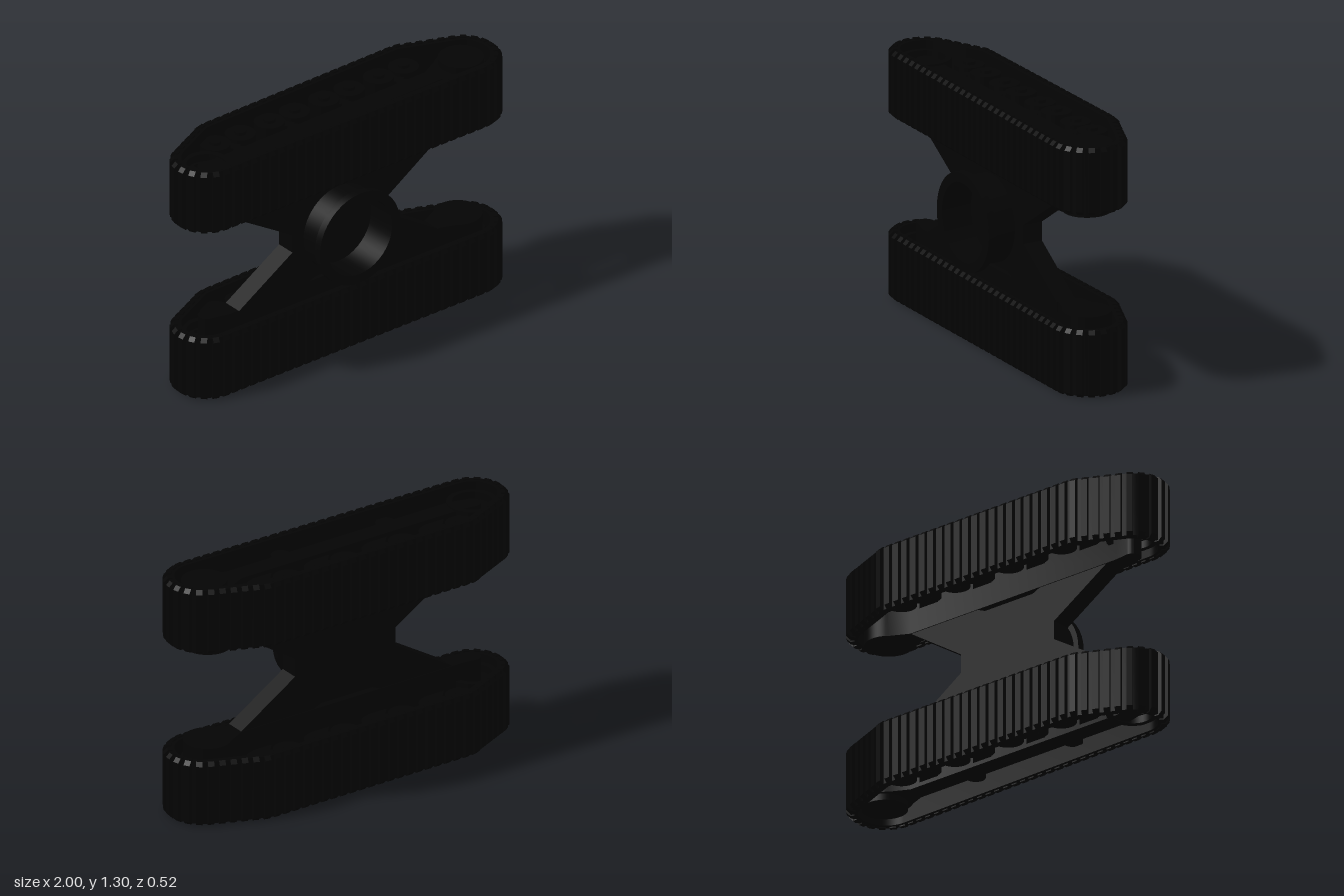
import * as THREE from 'three';
import { mergeGeometries, toCreasedNormals } from 'three/addons/utils/BufferGeometryUtils.js';

const HEIGHT = 1.3, TRACK = 0.35, LUG = 0.022;
// Circles [x, z, radius] the track is wrapped around (radius reaches the lug tips)
const WRAP = [[-0.82, 0.02, 0.18], [-0.63, -0.19, 0.07], [0.58, -0.19, 0.07], [0.805, 0.035, 0.195]];

// Closed tangent outline around the wrap circles, shrunk by inset
function wrapOutline(inset) {
  const n = WRAP.length;
  const angles = WRAP.map(([x, z, r], i) => {
    const [x2, z2, r2] = WRAP[(i + 1) % n];
    return Math.atan2(z2 - z, x2 - x) - Math.acos((r - r2) / Math.hypot(x2 - x, z2 - z));
  });
  const points = [];
  WRAP.forEach(([x, z, r], i) => {
    const from = angles[(i + n - 1) % n];
    let sweep = (angles[i] - from) % (2 * Math.PI);
    if (sweep < 0) sweep += 2 * Math.PI;
    const steps = Math.max(4, Math.ceil(sweep * 8));
    for (let k = 0; k <= steps; k++) {
      const a = from + sweep * k / steps;
      points.push(new THREE.Vector2(x + (r - inset) * Math.cos(a), z + (r - inset) * Math.sin(a)));
    }
  });
  return points;
}

const polygon = (pairs) => new THREE.Shape(pairs.map(([x, y]) => new THREE.Vector2(x, y)));
const disc = (x, z, r) => new THREE.Shape().absarc(x, z, r, 0, Math.PI * 2, false);
const hole = (x, z, r) => new THREE.Path().absarc(x, z, r, 0, Math.PI * 2, true);

export function createModel() {
  const model = new THREE.Group();
  model.name = 'trackedUndercarriage';
  const black = new THREE.MeshStandardMaterial({ color: 0x040404 });
  black.name = 'black';

  function add(parent, name, geometry) {
    const mesh = new THREE.Mesh(geometry, black);
    mesh.name = name;
    parent.add(mesh);
    return mesh;
  }

  // Extrude an (x, z) shape vertically between two heights
  function slab(shape, y0, y1) {
    const g = new THREE.ExtrudeGeometry(shape, { depth: y1 - y0, bevelEnabled: false, curveSegments: 20 });
    g.rotateX(Math.PI / 2).translate(0, y1, 0);
    return toCreasedNormals(g, 0.6);
  }

  function makeTrack(name, upper) {
    const track = new THREE.Group();
    track.name = name;
    model.add(track);
    // Heights count from the outer face of the track
    const part = (label, shape, y0, y1) =>
      add(track, label, upper ? slab(shape, HEIGHT - y1, HEIGHT - y0) : slab(shape, y0, y1));

    // Belt band
    const band = new THREE.Shape(wrapOutline(LUG));
    band.holes.push(new THREE.Path(wrapOutline(0.058).reverse()));
    part('trackBelt', band, 0.006, TRACK - 0.006);

    // Lugs with chamfered ends, spaced evenly around the belt
    const outline = wrapOutline(LUG);
    const path = new THREE.Shape([...outline, outline[0].clone()]);
    const spots = path.getSpacedPoints(76).slice(0, 76);
    const profile = polygon([[0, -0.02], [TRACK, -0.02], [TRACK, 0.002], [TRACK - 0.02, LUG], [0.02, LUG], [0, 0.002]]);
    const lug = new THREE.ExtrudeGeometry(profile, { depth: 0.032, bevelEnabled: false }).translate(0, 0, -0.016);
    const up = new THREE.Vector3(0, 1, 0);
    const lugs = spots.map((p, i) => {
      const a = spots[(i + 75) % 76], b = spots[(i + 1) % 76];
      const out = new THREE.Vector3(b.y - a.y, 0, a.x - b.x).normalize();
      const m = new THREE.Matrix4().makeBasis(up, out, up.clone().cross(out));
      m.setPosition(p.x, upper ? HEIGHT - TRACK : 0, p.y);
      return lug.clone().applyMatrix4(m);
    });
    add(track, 'trackLugs', mergeGeometries(lugs));

    // Side frame: slim beam ending in a round drive housing
    const frame = new THREE.Shape();
    frame.moveTo(-0.815, -0.025);
    frame.lineTo(-0.74, -0.015);
    frame.lineTo(0.6, -0.015);
    frame.lineTo(0.7, -0.065);
    frame.absarc(0.778, 0.027, 0.122, -2.27, 2.27, false);
    frame.lineTo(0.62, 0.09);
    frame.lineTo(-0.72, 0.09);
    frame.lineTo(-0.815, 0.065);
    frame.absarc(-0.815, 0.02, 0.045, Math.PI / 2, Math.PI * 1.5, false);
    part('sideFrame', frame, 0.06, 0.39);

    // Front idler: pierced web, deep rim
    const web = disc(-0.815, 0.018, 0.13);
    for (let k = 0; k < 6; k++) {
      const a = Math.PI / 2 + k * Math.PI / 3;
      web.holes.push(hole(-0.815 + 0.07 * Math.cos(a), 0.018 + 0.07 * Math.sin(a), 0.017));
    }
    part('idlerWeb', web, 0.09, 0.26);
    const rim = disc(-0.815, 0.018, 0.13);
    rim.holes.push(hole(-0.815, 0.018, 0.1));
    part('idlerRim', rim, 0.05, 0.3);

    // Drive sprocket and motor drum
    const teeth = [];
    for (let k = 0; k < 72; k++) {
      const r = k % 4 < 2 ? 0.145 : 0.125, a = k / 72 * Math.PI * 2;
      teeth.push([0.805 + r * Math.cos(a), 0.03 + r * Math.sin(a)]);
    }
    part('driveSprocket', polygon(teeth), 0.09, 0.26);
    part('motorDrum', disc(0.8, 0.025, 0.115), 0.025, 0.3);

    // Paired road rollers on pivoting brackets
    for (const x of [-0.56, -0.215, 0.132, 0.48]) {
      part('rollerBracket', polygon([[x - 0.065, -0.01], [x - 0.02, -0.06], [x - 0.08, -0.09], [x - 0.08, -0.145],
        [x, -0.115], [x + 0.08, -0.145], [x + 0.08, -0.09], [x + 0.02, -0.06], [x + 0.065, -0.01]]), 0.08, 0.27);
      for (const s of [-1, 1]) {
        part('roadRoller', disc(x + s * 0.08, -0.13, 0.077), 0.06, 0.29);
        part('rollerHub', disc(x + s * 0.08, -0.13, 0.03), 0.045, 0.305);
      }
    }

    // Return rollers
    for (const x of [-0.352, 0.28]) part('returnRoller', disc(x, 0.107, 0.05), 0.07, 0.28);
  }

  makeTrack('lowerTrack', false);
  makeTrack('upperTrack', true);

  // Cross frame: one half outline mirrored about mid height
  const cx = -0.03, mid = HEIGHT / 2;
  const half = [[0.275, 0.05], [0.6, 0.26], [0.6, 0.31], [0.28, 0.31], [0.12, 0.24],
    [-0.19, 0.24], [-0.35, 0.31], [-0.67, 0.31], [-0.67, 0.26], [-0.33, 0.05]];
  const cross = polygon([...half.map(([x, y]) => [x, mid + y]),
    ...half.slice().reverse().map(([x, y]) => [x, mid - y])]);
  const crossGeometry = new THREE.ExtrudeGeometry(cross, { depth: 0.105, bevelEnabled: false });
  add(model, 'crossFrame', crossGeometry.translate(0, 0, -0.01));

  // Slewing ring: hollow drum with a wider flange
  const ringProfile = [[0.225, 0.09], [0.225, 0.222], [0.255, 0.222], [0.255, 0.262], [0.205, 0.262], [0.205, 0.09]]
    .map(([r, y]) => new THREE.Vector2(r, y));
  const ring = toCreasedNormals(new THREE.LatheGeometry(ringProfile, 40), 0.6);
  add(model, 'slewingRing', ring.rotateX(Math.PI / 2).translate(cx - 0.005, mid, 0));

  return model;
}
